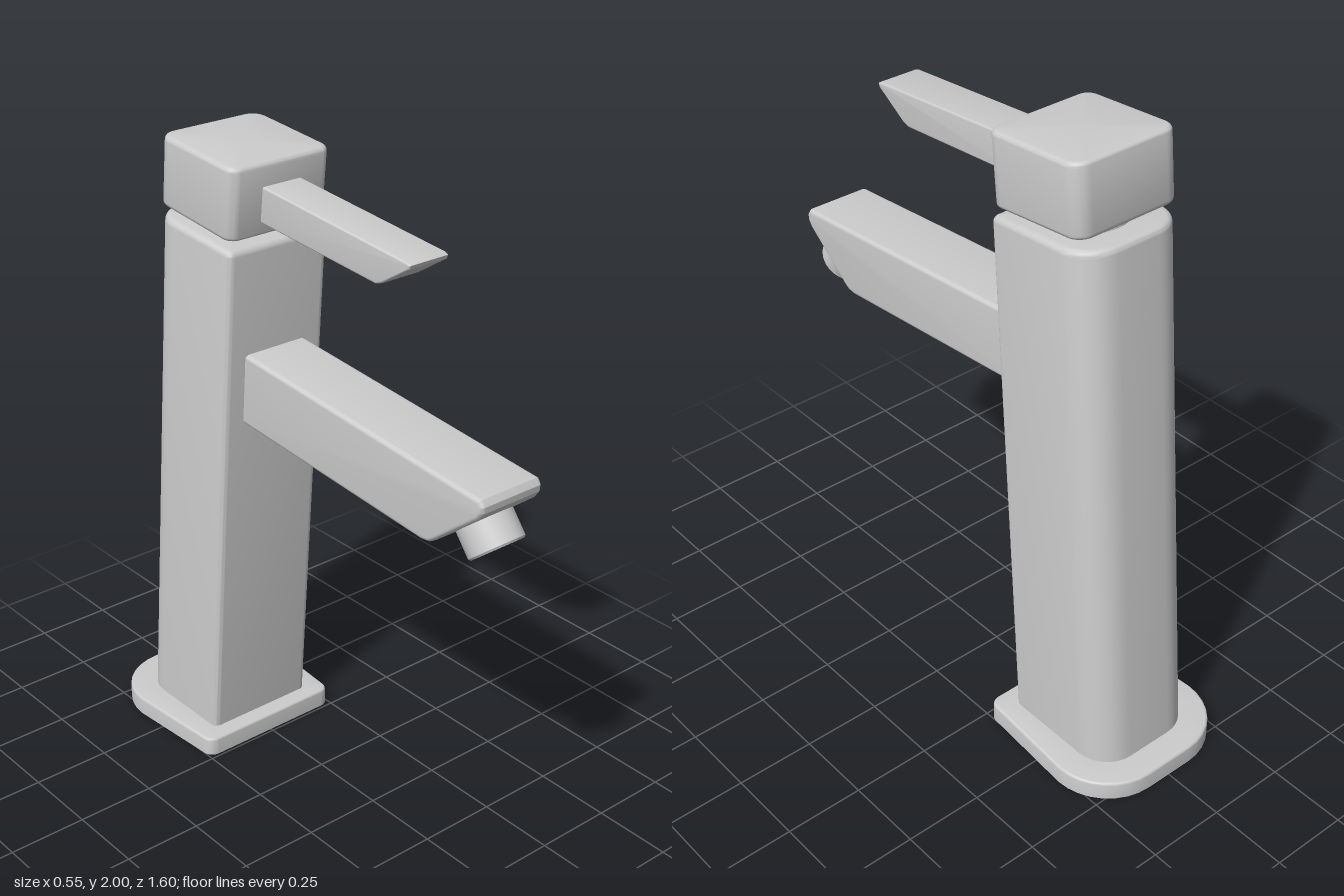
import * as THREE from 'three';
import { toCreasedNormals } from 'three/addons/utils/BufferGeometryUtils.js';

const material = new THREE.MeshStandardMaterial({ color: 0xcccccc, side: THREE.DoubleSide });
const CORNER = 8;

function addMesh(group, name, geometry, crease = 0.4) {
  const mesh = new THREE.Mesh(toCreasedNormals(geometry, crease), material);
  mesh.name = name;
  group.add(mesh);
  return mesh;
}

// Rounded plan: front/back z, half widths and corner radii at front and back;
// y is the height at the centre, slope raises the rear edge.
function ringPoints({ front, back, wf, wb, rf, rb, y, slope = 0 }) {
  const points = [];
  const mid = (front + back) / 2;
  const corners = [
    [wb - rb, back + rb, rb], [-wb + rb, back + rb, rb],
    [-wf + rf, front - rf, rf], [wf - rf, front - rf, rf],
  ];
  corners.forEach(([cx, cz, r], q) => {
    for (let i = 0; i <= CORNER; i++) {
      const a = (q + i / CORNER) * Math.PI / 2;
      const z = cz - r * Math.sin(a);
      points.push([cx + r * Math.cos(a), y - slope * (z - mid), z]);
    }
  });
  return points;
}

// Quarter-round edge going up (dir 1) or down (dir -1) from a ring
function fillet(ring, r, dir = 1) {
  const rings = [];
  for (let i = 0; i <= 5; i++) {
    const a = i / 5 * Math.PI / 2;
    const d = r * (1 - Math.cos(a));
    rings.push({
      ...ring, front: ring.front - d, back: ring.back + d, wf: ring.wf - d, wb: ring.wb - d,
      rf: ring.rf - d, rb: ring.rb - d, y: ring.y + dir * r * Math.sin(a),
    });
  }
  return dir > 0 ? rings : rings.reverse();
}

// Skin through a stack of rings, optionally closed at either end
function loft(rings, capBottom, capTop) {
  const rows = rings.map(ringPoints);
  const n = rows[0].length;
  const positions = rows.flat(2);
  const index = [];
  for (let j = 0; j < rows.length - 1; j++) {
    for (let i = 0; i < n; i++) {
      const a = j * n + i, b = j * n + (i + 1) % n;
      index.push(a, b, b + n, a, b + n, a + n);
    }
  }
  const cap = (row, flip) => {
    const start = row * n, centre = positions.length / 3;
    const { front, back, y } = rings[row];
    positions.push(0, y, (front + back) / 2);
    for (let i = 0; i < n; i++) {
      const a = start + i, b = start + (i + 1) % n;
      index.push(centre, flip ? b : a, flip ? a : b);
    }
  };
  if (capBottom) cap(0, true);
  if (capTop) cap(rows.length - 1, false);
  const geometry = new THREE.BufferGeometry();
  geometry.setAttribute('position', new THREE.Float32BufferAttribute(positions, 3));
  geometry.setIndex(index);
  return geometry;
}

// Side outline in (z, y), extruded across x with rounded edges
function bar(outline, halfWidth, bevel) {
  const shape = new THREE.Shape(outline.map(([z, y]) => new THREE.Vector2(z, y)));
  const geometry = new THREE.ExtrudeGeometry(shape, {
    depth: 2 * (halfWidth - bevel), bevelThickness: bevel, bevelSize: bevel,
    bevelOffset: -bevel, bevelSegments: 5,
  });
  geometry.translate(0, 0, -(halfWidth - bevel));
  geometry.rotateY(-Math.PI / 2);
  return geometry;
}

export function createModel() {
  const group = new THREE.Group();

  // Base flange, an open shell whose top has an opening under the body
  const plate = { front: -0.26, back: -0.8, wf: 0.25, wb: 0.273, rf: 0.035, rb: 0.19, y: 0 };
  const foot = { front: -0.315, back: -0.712, wf: 0.187, wb: 0.187, rf: 0.02, rb: 0.11, y: 0.06 };
  addMesh(group, 'baseFlange', loft([plate, ...fillet({ ...plate, y: 0.052 }, 0.008), foot]));

  // Leaning hollow body, closed at the top
  const shoulder = {
    front: -0.188, back: -0.568, wf: 0.182, wb: 0.182, rf: 0.022, rb: 0.11, y: 1.72, slope: 0.08,
  };
  addMesh(group, 'body', loft([foot, ...fillet(shoulder, 0.02)], false, true));

  // Neck between body and head
  const neck = addMesh(group, 'neck', new THREE.CylinderGeometry(0.122, 0.122, 0.1, 40));
  neck.position.set(0, 1.75, -0.367);
  neck.rotation.x = 0.085;

  // Leaning square head
  const headLow = {
    front: -0.187, back: -0.535, wf: 0.18, wb: 0.18, rf: 0.04, rb: 0.05, y: 1.782, slope: 0.1,
  };
  const headHigh = { ...headLow, front: -0.167, back: -0.516, y: 1.969, slope: 0.08 };
  addMesh(group, 'head', loft([...fillet(headLow, 0.015, -1), ...fillet(headHigh, 0.015)], true, true));

  // Lever handle
  addMesh(group, 'lever', bar([
    [-0.22, 1.793], [0.305, 1.753], [0.33, 1.762], [0.435, 1.83], [0.44, 1.842], [0.425, 1.848], [-0.22, 1.903],
  ], 0.07, 0.006));

  // Spout
  addMesh(group, 'spout', bar([
    [-0.26, 1.162], [0.55, 1.096], [0.58, 1.1], [0.6, 1.112], [0.765, 1.243],
    [0.78, 1.265], [0.782, 1.285], [0.77, 1.303], [-0.26, 1.39],
  ], 0.112, 0.014));

  // Hollow outlet nozzle square to the slanted spout end
  const profile = [[0.084, -0.13], [0.084, -0.006], [0.078, 0], [0.068, 0], [0.068, -0.06], [0, -0.06]];
  const nozzle = addMesh(group, 'nozzle',
    new THREE.LatheGeometry(profile.map(([r, y]) => new THREE.Vector2(r, y)), 40));
  nozzle.position.set(0, 1.107, 0.736);
  nozzle.quaternion.setFromUnitVectors(
    new THREE.Vector3(0, 1, 0), new THREE.Vector3(0, -0.78, 0.625).normalize());

  return group;
}
